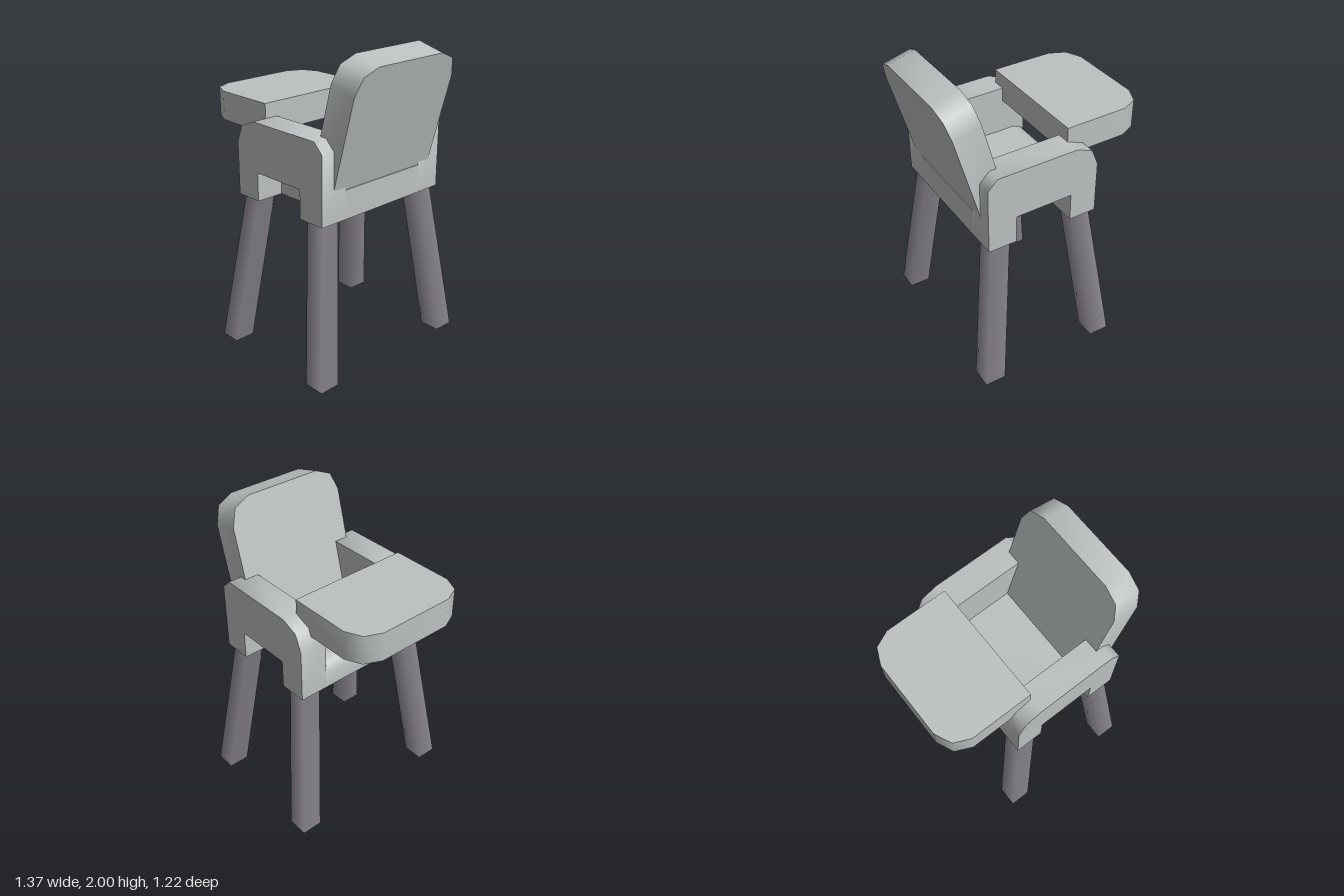
import * as THREE from 'three';
import { toCreasedNormals } from 'three/addons/utils/BufferGeometryUtils.js';

const grey = new THREE.MeshStandardMaterial({ color: 0xbcc0c0 });
grey.name = 'light grey';
const legGrey = new THREE.MeshStandardMaterial({ color: 0x8c8791 });
legGrey.name = 'mauve grey';

// Flat slab from an outline; shallow corners are smoothed, square ones stay sharp
function slab(points, depth) {
  const shape = new THREE.Shape(points.map(([x, y]) => new THREE.Vector2(x, y)));
  const geometry = new THREE.ExtrudeGeometry(shape, { depth, bevelEnabled: false });
  return toCreasedNormals(geometry, 0.9);
}

export function createModel() {
  const chair = new THREE.Group();
  chair.name = 'highChair';
  const add = (name, geometry, material) => {
    const mesh = new THREE.Mesh(geometry, material);
    mesh.name = name;
    chair.add(mesh);
    return mesh;
  };

  // Armrest sides with a notch cut from the bottom edge
  const armOutline = [
    [-0.275, 1.02], [-0.09, 1.02], [-0.09, 1.205], [0.295, 1.205], [0.295, 1.02],
    [0.485, 1.02], [0.485, 1.46], [0.42, 1.525], [-0.12, 1.525], [-0.23, 1.48], [-0.275, 1.37],
  ];
  for (const side of [1, -1]) {
    const arm = add(side > 0 ? 'leftArm' : 'rightArm', slab(armOutline, 0.187), grey);
    arm.position.z = side > 0 ? 0.32 : -0.507;
  }

  // Seat between the arms, with an eased front edge
  const seatOutline = [
    [-0.275, 1.02], [0.485, 1.02], [0.485, 1.205], [-0.2, 1.205], [-0.255, 1.18], [-0.275, 1.13],
  ];
  add('seat', slab(seatOutline, 0.64), grey).position.z = -0.32;

  // Leaning backrest with cut corners
  const half = [[0.415, 0], [0.415, 0.668], [0.373, 0.781], [0.265, 0.828]];
  const backOutline = [...half, ...half.map(([x, y]) => [-x, y]).reverse()];
  const backrest = add('backrest', slab(backOutline, 0.186).rotateY(Math.PI / 2), grey);
  backrest.rotation.z = -Math.PI / 12;
  backrest.position.set(0.286, 1.2, 0);

  // Tray, cut at its outer corners
  const edge = [[-0.118, -0.41], [-0.118, 0.41], [-0.535, 0.41], [-0.64, 0.362], [-0.688, 0.255]];
  const trayOutline = [...edge, ...edge.slice(2).map(([x, z]) => [x, -z]).reverse()];
  add('tray', slab(trayOutline, 0.19).rotateX(-Math.PI / 2), grey).position.y = 1.43;

  // Four square legs, sheared outwards towards the floor
  for (const sx of [1, -1]) {
    for (const sz of [1, -1]) {
      const leg = new THREE.CylinderGeometry(0.09, 0.098, 1.02, 4).rotateY(Math.PI / 4);
      const shear = new THREE.Matrix4().set(
        1, -0.124 * sx, 0, 0.103 + 0.35 * sx,
        0, 1, 0, 0.51,
        0, -0.124 * sz, 1, 0.477 * sz,
        0, 0, 0, 1,
      );
      leg.applyMatrix4(shear);
      add(`${sx < 0 ? 'front' : 'back'}Leg${sz > 0 ? 'A' : 'B'}`, leg, legGrey);
    }
  }

  return chair;
}
